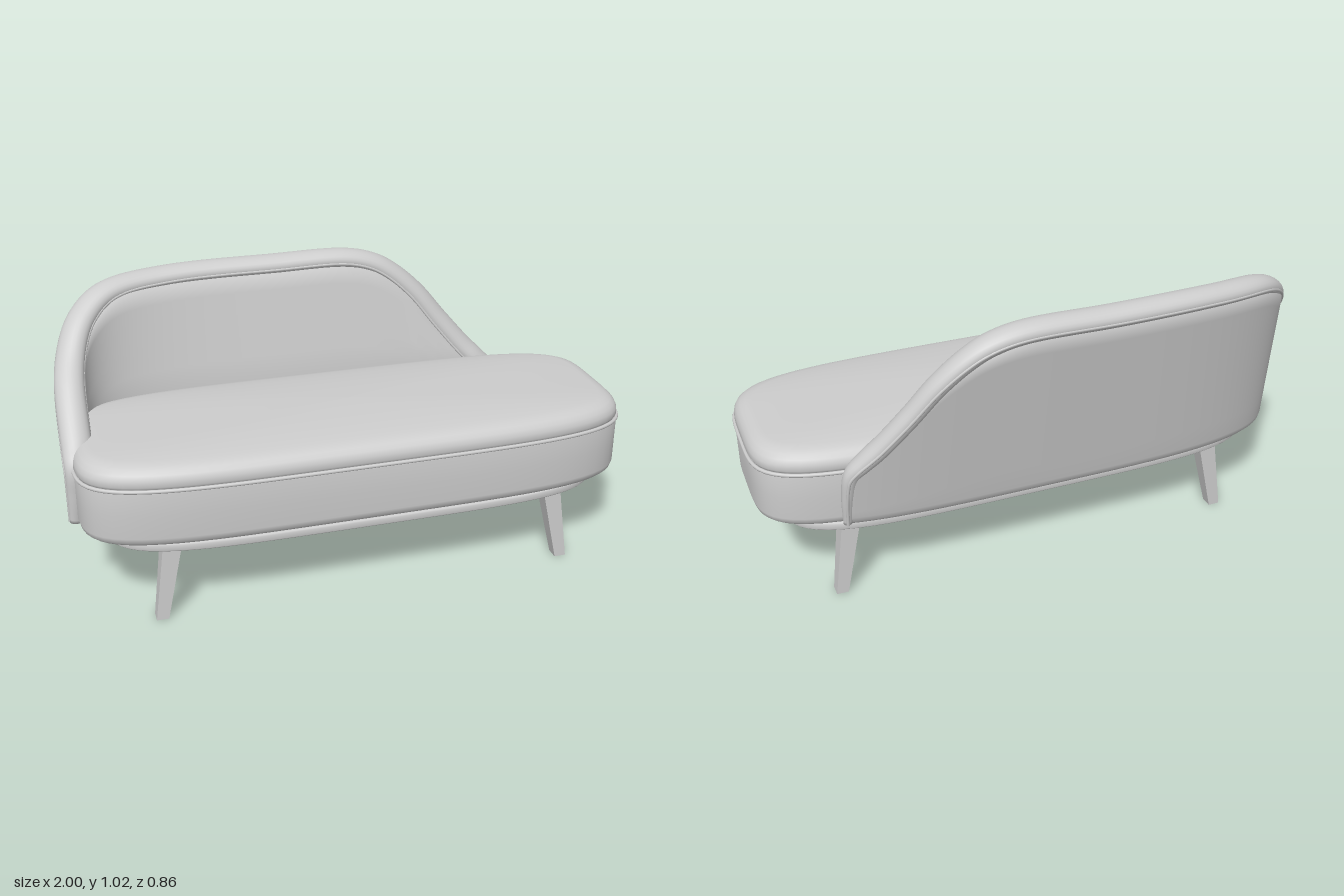
import * as THREE from 'three';

const V = (x, y, z) => new THREE.Vector3(x, y, z);

// Rounded-rectangle outline (superellipse), angle counter-clockwise from +x
function outline(phi, a, b, n) {
  const c = Math.cos(phi), s = Math.sin(phi);
  const r = 1 / Math.pow(Math.abs(c) ** n + Math.abs(s) ** n, 1 / n);
  return [a * r * c, -b * r * s];
}

// Skin a list of closed rings
function loft(rings) {
  const pos = [], idx = [], m = rings[0].length;
  rings.forEach(r => r.forEach(p => pos.push(p.x, p.y, p.z)));
  for (let i = 0; i < rings.length - 1; i++) {
    for (let j = 0; j < m; j++) {
      const k = (j + 1) % m, a = i * m + j, d = i * m + k;
      idx.push(a, d, d + m, a, d + m, a + m);
    }
  }
  const g = new THREE.BufferGeometry();
  g.setAttribute('position', new THREE.Float32BufferAttribute(pos, 3));
  g.setIndex(idx);
  g.computeVertexNormals();
  return g;
}

// Horizontal rings from a profile of [height, inset]; deep insets close the ends
function slab(profile, a, b, cx, cz, n = 4.5) {
  return loft(profile.map(([y, d]) => {
    const ring = [], ax = a - d - Math.max(0, d - 0.07) * (a - b) / (b - 0.07);
    for (let j = 0; j < 120; j++) {
      const [x, z] = outline(j / 120 * Math.PI * 2, Math.max(ax, 0.001), Math.max(b - d, 0.001), n);
      ring.push(V(cx + x, y, cz + z));
    }
    return ring;
  }));
}

// Point on the leaning backrest wall: d is the depth inward from its outer face
function wall(deg, y, d) {
  const b = 0.38 + 0.18 * (y - 0.31);
  const [x, z] = outline(deg * Math.PI / 180, 0.995 - d, b - d, 3.7);
  return V(x, y, 0.075 + z);
}

// Half thickness of the backrest, thinner towards the bottom
const half = y => THREE.MathUtils.lerp(0.02, 0.049, THREE.MathUtils.clamp((y - 0.3) / 0.27, 0, 1));

export function createModel() {
  const group = new THREE.Group();
  const fabric = new THREE.MeshStandardMaterial({ color: 0xcccccc });
  fabric.name = 'light grey';
  const add = (name, geo) => {
    const mesh = new THREE.Mesh(geo, fabric);
    mesh.name = name;
    group.add(mesh);
    return mesh;
  };

  // Seat: upholstered base, crowned cushion and the piping between them
  add('seatBase', slab([[0.297, 0.344], [0.297, 0.06], [0.298, 0.035], [0.304, 0.016], [0.316, 0.005],
    [0.335, 0], [0.42, 0], [0.5, 0], [0.51, 0.008], [0.512, 0.04]], 0.98, 0.345, 0.01, 0.075));
  add('seatCushion', slab([[0.508, 0.03], [0.51, 0.008], [0.525, 0.001], [0.545, 0.003], [0.562, 0.011],
    [0.575, 0.024], [0.584, 0.042], [0.59, 0.065], [0.597, 0.11], [0.604, 0.18], [0.608, 0.26],
    [0.61, 0.344]], 0.98, 0.345, 0.01, 0.075));
  const seam = [];
  for (let i = 0; i < 100; i++) {
    const [x, z] = outline(i / 100 * Math.PI * 2, 0.98, 0.345, 4.5);
    seam.push(V(0.01 + x, 0.511, 0.075 + z));
  }
  add('seatPiping', new THREE.TubeGeometry(new THREE.CatmullRomCurve3(seam, true), 160, 0.007, 8, true));

  // Plinth under the seat
  add('plinth', slab([[0.264, 0.332], [0.264, 0.012], [0.266, 0.004], [0.271, 0], [0.289, 0],
    [0.294, 0.004], [0.296, 0.012], [0.296, 0.332]], 0.893, 0.333, 0.008, 0.068));

  // Rim line of the backrest: [angle, height] from the left arm round to the right end
  const rimLine = new THREE.CatmullRomCurve3([
    [193.5, 0.31], [193.5, 0.42], [192.5, 0.51], [186, 0.555], [178, 0.61], [165, 0.7], [154, 0.78],
    [143, 0.89], [134, 0.955], [122, 0.975], [100, 0.977], [82, 0.975], [76, 0.95], [72, 0.91],
    [67, 0.83], [62, 0.715], [57, 0.605], [54, 0.55], [52, 0.51], [51.2, 0.42], [51.2, 0.31],
  ].map(([p, y]) => V(p / 100, y, 0)));
  const line = rimLine.getSpacedPoints(180).map(p => [p.x * 100, p.y]);

  // Backrest panel: outer and inner faces with a rounded lower edge
  const columns = line.filter(p => p[1] > 0.5).map(([phi, top]) => {
    const col = [wall(phi, 0.299, 0.03), wall(phi, 0.303, 0.018), wall(phi, 0.315, 0.009)];
    for (let i = 0; i <= 8; i++) col.push(wall(phi, THREE.MathUtils.lerp(0.335, top, i / 8), 0.006));
    for (let i = 8; i >= 0; i--) {
      const y = THREE.MathUtils.lerp(0.335, top, i / 8);
      col.push(wall(phi, y, 2 * half(y) - 0.008));
    }
    return col;
  });
  add('backrestPanel', loft(columns));

  // Padded rim following the panel edge, with piping on both sides
  const centre = line.map(([p, y]) => wall(p, y, half(y)));
  const rings = [], inner = [], outer = [];
  centre.forEach((c, i) => {
    const [phi, y] = line[i], h = half(y);
    const t = centre[Math.min(i + 1, centre.length - 1)].clone().sub(centre[Math.max(i - 1, 0)]).normalize();
    const n = wall(phi, y, 0).sub(wall(phi, y, 2 * h)).normalize();
    n.addScaledVector(t, -n.dot(t)).normalize();
    const m = t.clone().cross(n);
    const ring = [];
    for (let j = 0; j < 24; j++) {
      const q = j / 24 * Math.PI * 2;
      ring.push(c.clone().addScaledVector(n, (h + 0.003) * Math.cos(q)).addScaledVector(m, h * 0.78 * Math.sin(q)));
    }
    rings.push(ring);
    if (i % 3 === 0) {
      inner.push(c.clone().addScaledVector(n, -h + 0.001).addScaledVector(m, -0.008));
      outer.push(c.clone().addScaledVector(n, h - 0.001).addScaledVector(m, -0.008));
    }
  });
  const cap = i => centre.at(i) && rings.at(i).map(() => centre.at(i).clone());
  add('backrestRim', loft([cap(0), ...rings, cap(-1)]));
  for (const [name, pts] of [['innerPiping', inner], ['outerPiping', outer]]) {
    add(name, new THREE.TubeGeometry(new THREE.CatmullRomCurve3(pts), 180, 0.006, 8));
  }

  // Four splayed, tapered legs: x and z centres at top and bottom
  for (const side of [-1, 1]) {
    for (const [name, zTop, zBottom] of [['frontLeg', 0.323, 0.343], ['backLeg', -0.19, -0.208]]) {
      const g = new THREE.BoxGeometry(1, 1, 1), p = g.attributes.position;
      for (let i = 0; i < p.count; i++) {
        const up = p.getY(i) > 0;
        p.setXYZ(i,
          0.008 + side * (up ? 0.69 : 0.738) + p.getX(i) * (up ? 0.064 : 0.042),
          up ? 0.27 : 0,
          (up ? zTop : zBottom) + p.getZ(i) * (up ? 0.068 : 0.045));
      }
      g.computeVertexNormals();
      add(name, g);
    }
  }
  return group;
}
